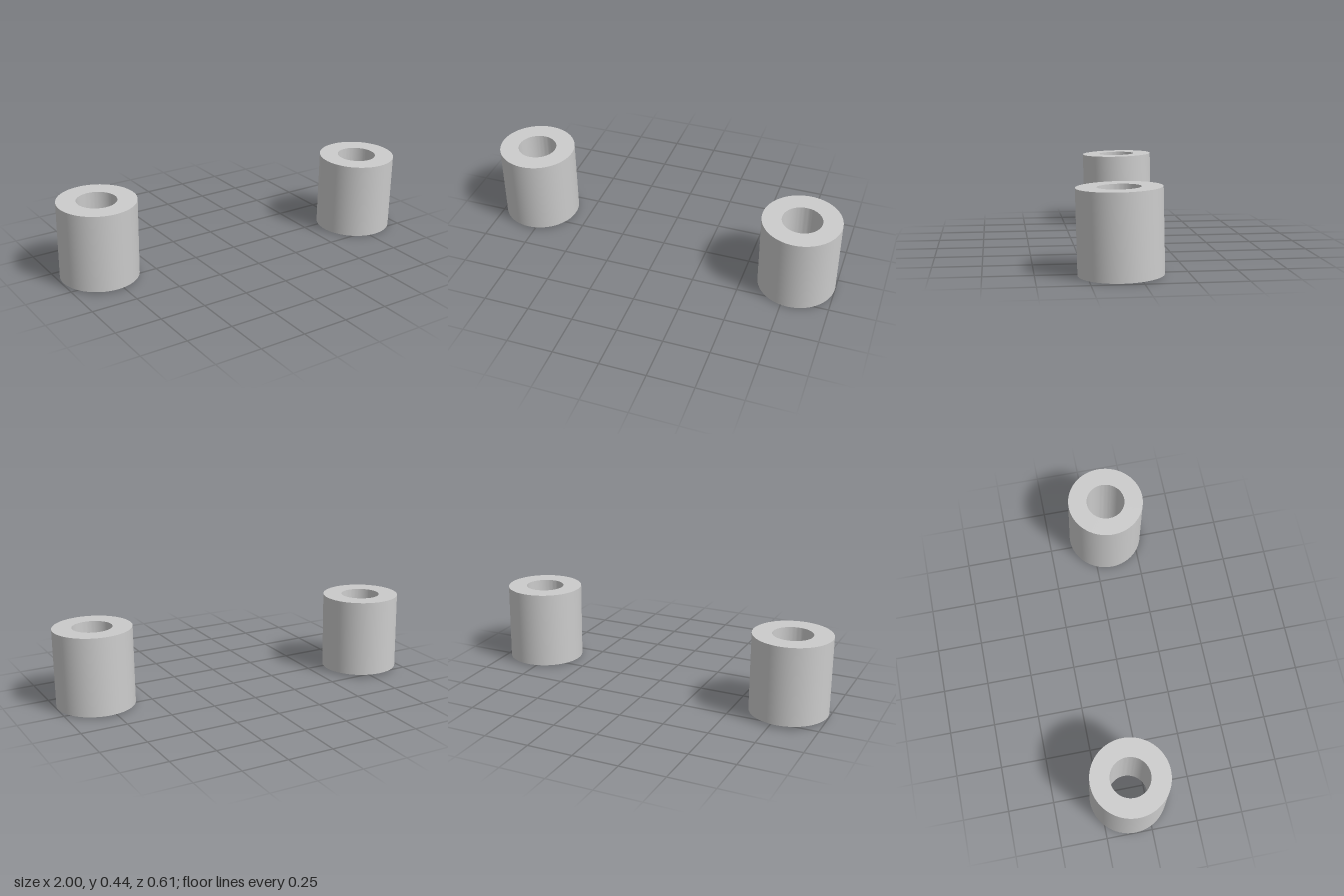
import * as THREE from 'three';
import { toCreasedNormals } from 'three/addons/utils/BufferGeometryUtils.js';

const OUTER = 0.211, INNER = 0.107, HEIGHT = 0.424, TILT = 0.0236;

// Hollow cylinder, centred on its own middle
function sleeveGeometry() {
  const h = HEIGHT / 2;
  const profile = [[OUTER, -h], [OUTER, h], [INNER, h], [INNER, -h], [OUTER, -h]]
    .map(([r, y]) => new THREE.Vector2(r, y));
  return toCreasedNormals(new THREE.LatheGeometry(profile, 96), Math.PI / 6);
}

export function createModel() {
  const model = new THREE.Group();
  model.name = 'spacerSleeves';
  const material = new THREE.MeshStandardMaterial({ color: 0xcccccc });
  const geometry = sleeveGeometry();

  // Two matching sleeves, both leaning slightly forward
  const sleeves = [
    ['leftSleeve', 0.789, 0.217, 0.0885],
    ['rightSleeve', -0.789, 0.2245, -0.0885],
  ];
  for (const [name, x, y, z] of sleeves) {
    const sleeve = new THREE.Mesh(geometry, material);
    sleeve.name = name;
    sleeve.position.set(x, y, z);
    sleeve.rotation.x = TILT;
    model.add(sleeve);
  }
  return model;
}
